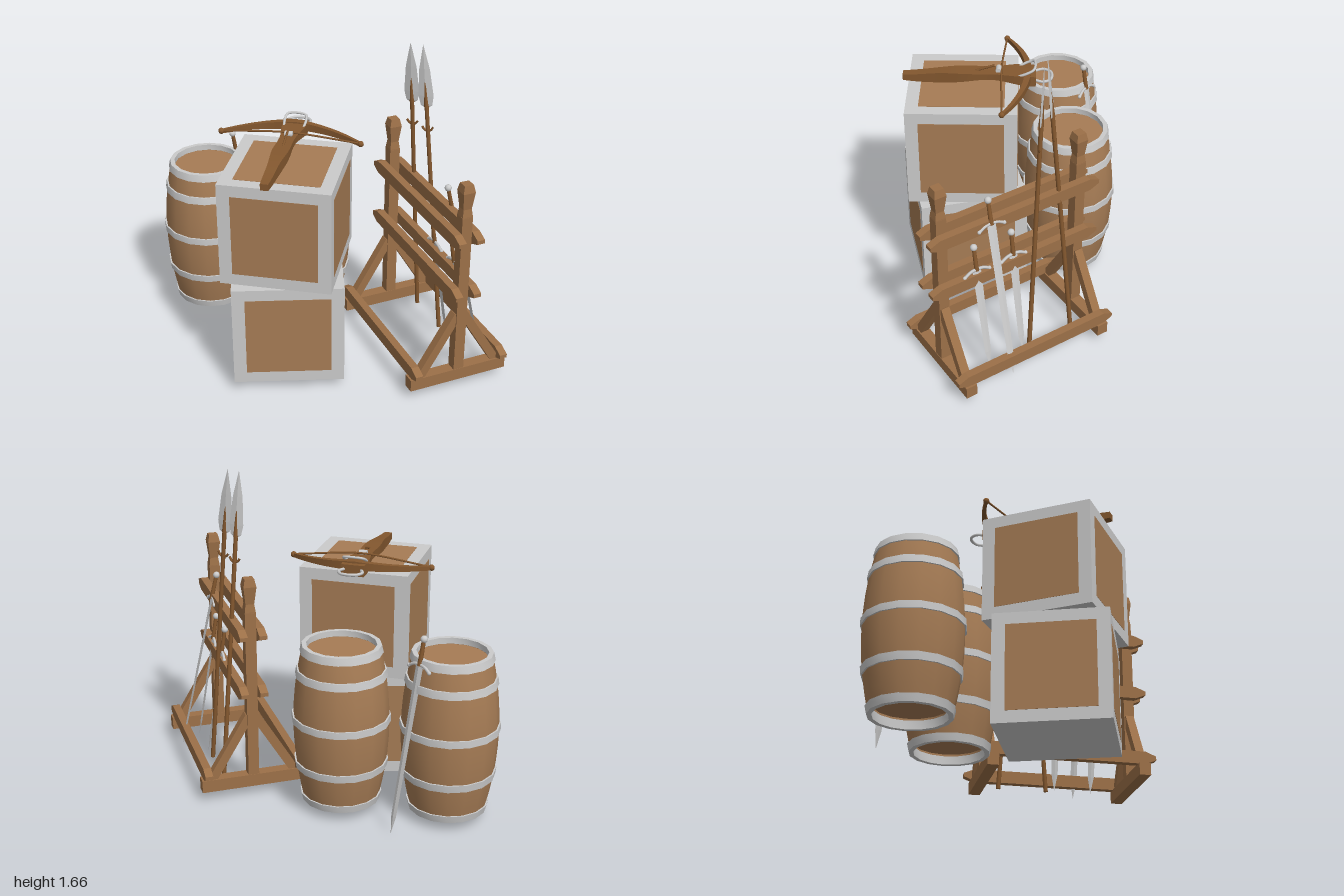
import * as THREE from 'three';
import { toCreasedNormals } from 'three/addons/utils/BufferGeometryUtils.js';

const mat = (color, flatShading = false) => new THREE.MeshStandardMaterial({ color, flatShading });
const wood = mat(0xa67c55), rackWood = mat(0x9c7048), darkWood = mat(0x84582f), grey = mat(0xcccccc), steel = mat(0xcccccc, true);
const V = (x, y, z) => new THREE.Vector3(x, y, z);

function add(parent, name, geometry, material, x = 0, y = 0, z = 0) {
  const m = new THREE.Mesh(geometry, material);
  m.name = name;
  m.position.set(x, y, z);
  parent.add(m);
  return m;
}
function group(parent, name, x = 0, y = 0, z = 0, ry = 0) {
  const g = new THREE.Group();
  g.name = name;
  g.position.set(x, y, z);
  g.rotation.y = ry;
  parent.add(g);
  return g;
}
const box = (x, y, z) => new THREE.BoxGeometry(x, y, z);
const lathe = (pts, n) => new THREE.LatheGeometry(pts.map(p => new THREE.Vector2(...p)), n);
const tube = (pts, r, n = 16) => new THREE.TubeGeometry(new THREE.CatmullRomCurve3(pts), n, r, 6);

// Barrel: bulging staves, recessed lids, five hoops
function barrel(parent, x, z) {
  const g = group(parent, 'barrel', x, 0, z);
  const R = y => 0.24 - 0.05 * ((y - 0.46) / 0.41) ** 2;
  const round = pts => toCreasedNormals(lathe(pts, 16), 0.5);
  const pts = [[0, 0.1], [0.176, 0.1], [0.176, 0.05]];
  for (let i = 0; i <= 10; i++) pts.push([R(0.05 + 0.082 * i), 0.05 + 0.082 * i]);
  pts.push([0.176, 0.87], [0.176, 0.84], [0, 0.84]);
  add(g, 'staves', round(pts), wood);
  for (const [a, b] of [[0.23, 0.268], [0.472, 0.508], [0.712, 0.75]])
    add(g, 'hoop', round([[R(a), a], [R(a) + 0.008, a], [R(b) + 0.008, b], [R(b), b]]), grey);
  add(g, 'topHoop', round([[R(0.835), 0.835], [R(0.835) + 0.008, 0.835], [R(0.873) + 0.008, 0.873],
    [0.174, 0.873], [0.174, 0.842]]), grey);
  add(g, 'bottomHoop', round([[0.174, 0.09], [0.174, 0.047], [R(0.047) + 0.008, 0.047],
    [R(0.085) + 0.008, 0.085], [R(0.085), 0.085]]), grey);
}

// Crate: grey frame block with a wooden panel on the sides and the top
function crate(parent, x, y, z, ry) {
  const g = group(parent, 'crate', x, y, z, ry), s = 0.56, h = 0.55;
  add(g, 'frame', box(s, h, s), grey);
  add(g, 'panels', box(s + 0.003, h - 0.12, s - 0.13), wood);
  add(g, 'panels', box(s - 0.13, h - 0.12, s + 0.003), wood);
  add(g, 'topPanel', box(s - 0.13, 0.01, s - 0.13), wood, 0, h / 2 - 0.0035, 0);
}

// Rail with tapered ends
function rail(parent, name, len, y, z) {
  const a = len / 2, b = a - 0.055, h = 0.033;
  const s = new THREE.Shape([[-a, -0.01], [-b, -h], [b, -h], [a, -0.01], [a, 0.01], [b, h], [-b, h], [-a, 0.01]]
    .map(p => new THREE.Vector2(...p)));
  const geo = new THREE.ExtrudeGeometry(s, { depth: 0.04, bevelEnabled: false }).translate(0, 0, -0.02);
  add(parent, name, geo, rackWood, 0, y, z);
}

function rack(parent) {
  const g = group(parent, 'weaponRack', 0.493, 0, -0.128, -0.775);
  for (const x of [-0.396, 0.396]) {
    add(g, 'foot', box(0.06, 0.065, 0.54), rackWood, x, 0.083, 0);
    add(g, 'post', box(0.056, 0.93, 0.056), rackWood, x, 0.535, 0);
    const head = lathe([[0.04, 0.995], [0.031, 1.04], [0.046, 1.13], [0.034, 1.17], [0, 1.17]], 4).rotateY(Math.PI / 4);
    add(g, 'postHead', head, mat(0x9c7048, true), x, 0, 0);
    for (const s of [-1, 1]) {
      const brace = add(g, 'brace', box(0.045, 0.42, 0.045), rackWood, x, 0.262, 0.125 * s);
      brace.rotation.x = Math.atan2(-0.2 * s, 0.33);
    }
  }
  for (const s of [-1, 1]) {
    rail(g, 'upperRail', 0.96, 0.882, 0.049 * s);
    rail(g, 'middleRail', 0.96, 0.578, 0.049 * s);
    rail(g, 'lowerRail', 0.92, 0.145, 0.24 * s);
  }
}

// Group whose local y runs from one point to another, with its width along side
function spanned(parent, name, from, to, side) {
  const g = group(parent, name, from.x, from.y, from.z);
  const y = to.clone().sub(from), len = y.length();
  y.normalize();
  const z = side.clone().cross(y).normalize(), x = y.clone().cross(z);
  g.quaternion.setFromRotationMatrix(new THREE.Matrix4().makeBasis(x, y, z));
  return [g, len];
}

function sword(parent, tip, pommel, side) {
  const [g, L] = spanned(parent, 'sword', tip, pommel, side), top = L - 0.145;
  const blade = lathe([[0, 0], [0.017, 0.09], [0.024, top], [0, top]], 4).scale(1, 1, 0.25);
  add(g, 'blade', blade, steel);
  add(g, 'guard', tube([V(-0.07, top - 0.015, 0), V(-0.03, top + 0.004, 0), V(0.03, top + 0.004, 0), V(0.07, top - 0.015, 0)], 0.008), grey);
  for (const x of [-0.07, 0.07]) add(g, 'guardEnd', new THREE.SphereGeometry(0.01, 8, 6), grey, x, top - 0.015, 0);
  add(g, 'grip', new THREE.CylinderGeometry(0.01, 0.012, 0.12, 8), darkWood, 0, top + 0.06, 0);
  add(g, 'pommel', new THREE.SphereGeometry(0.018, 12, 8), grey, 0, L - 0.014, 0);
}

function spear(parent, foot, tip) {
  const [g, L] = spanned(parent, 'spear', foot, tip, V(1, 0, 0));
  add(g, 'shaft', new THREE.CylinderGeometry(0.011, 0.012, L - 0.3, 8), darkWood, 0, (L - 0.3) / 2, 0);
  add(g, 'socket', new THREE.CylinderGeometry(0.003, 0.013, 0.18, 8), darkWood, 0, L - 0.24, 0);
  add(g, 'blade', lathe([[0, L - 0.34], [0.03, L - 0.32], [0.04, L - 0.27], [0.028, L - 0.13], [0, L]], 4).scale(1, 1, 0.16), steel);
  add(g, 'prongs', tube([V(-0.03, L - 0.435, 0), V(-0.015, L - 0.455, 0), V(0.015, L - 0.455, 0), V(0.03, L - 0.435, 0)], 0.006), darkWood);
}

// Moves every vertex of a geometry by a rule
function bend(geo, rule) {
  const p = geo.attributes.position, v = new THREE.Vector3();
  for (let i = 0; i < p.count; i++) {
    rule(v.fromBufferAttribute(p, i));
    p.setXYZ(i, v.x, v.y, v.z);
  }
  return toCreasedNormals(geo, 0.6);
}

function crossbow(parent) {
  const g = group(parent, 'crossbow', -0.2, 1.19, -0.07, 0.18);
  // Stock: wide at the bow, slim waist, flared butt
  const stock = bend(new THREE.BoxGeometry(1, 1, 0.68, 2, 2, 24), v => {
    const t = (v.z + 0.34) / 0.68;
    v.x *= 0.115 - 0.075 * t + 0.018 * Math.sin(t * 14) * (1 - t);
    v.y = v.y * (0.045 + 0.012 * Math.cos(t * 9)) + 0.012 * Math.sin(t * 5) - 0.004;
    v.z += 0.3;
  });
  add(g, 'stock', stock, darkWood);
  // Swept limbs tapering to the tips
  const limbs = bend(new THREE.BoxGeometry(0.72, 1, 1, 24, 1, 1), v => {
    const t = Math.abs(v.x) / 0.36;
    v.y = v.y * (0.045 - 0.025 * t) + 0.014 - 0.018 * t;
    v.z = v.z * (0.035 - 0.018 * t) + 0.12 * t * t;
  });
  add(g, 'limbs', limbs, darkWood);
  for (const s of [-1, 1]) add(g, 'limbTip', new THREE.SphereGeometry(0.016, 8, 6), darkWood, 0.36 * s, -0.002, 0.12);
  add(g, 'string', tube([V(-0.36, 0, 0.12), V(-0.05, 0.032, 0.135), V(0.05, 0.032, 0.135), V(0.36, 0, 0.12)], 0.005), darkWood);
  add(g, 'stirrup', tube([V(-0.035, 0, -0.02), V(-0.06, 0, -0.075), V(-0.035, 0, -0.115), V(0.035, 0, -0.115), V(0.06, 0, -0.075), V(0.035, 0, -0.02)], 0.008, 30), grey);
  add(g, 'bracket', tube([V(-0.05, 0.02, 0.05), V(-0.055, 0.045, 0), V(-0.045, 0.06, -0.03), V(0.045, 0.06, -0.03), V(0.055, 0.045, 0), V(0.05, 0.02, 0.05)], 0.007, 30), grey);
  add(g, 'catch', new THREE.CylinderGeometry(0.015, 0.015, 0.04, 10).rotateZ(Math.PI / 2), grey, 0, 0.032, 0.15);
  add(g, 'lever', tube([V(0, 0.02, 0.27), V(0, 0.035, 0.23), V(0, 0.045, 0.2), V(0, 0.055, 0.17)], 0.006), darkWood);
}

export function createModel() {
  const model = new THREE.Group();
  model.name = 'armoryStores';
  barrel(model, -0.757, -0.126);
  barrel(model, -0.243, -0.29);
  crate(model, -0.115, 0.322, 0.255, 0.44);
  crate(model, -0.112, 0.875, 0.25, 0.2);
  crossbow(model);
  rack(model);
  // Weapons standing in the rack and against a barrel
  const along = V(0.715, 0, 0.7);
  sword(model, V(0.78, 0.06, -0.21), V(0.625, 1.03, -0.05), along);
  sword(model, V(0.605, 0.06, -0.22), V(0.525, 0.77, -0.14), along);
  sword(model, V(0.755, 0.06, -0.085), V(0.675, 0.77, 0.01), along);
  sword(model, V(-0.6, 0, -0.45), V(-0.675, 0.985, -0.28), V(0.92, 0, 0.4));
  spear(model, V(0.375, 0.05, -0.425), V(0.335, 1.66, -0.265));
  spear(model, V(0.56, 0.05, -0.245), V(0.4, 1.66, -0.265));
  return model;
}
